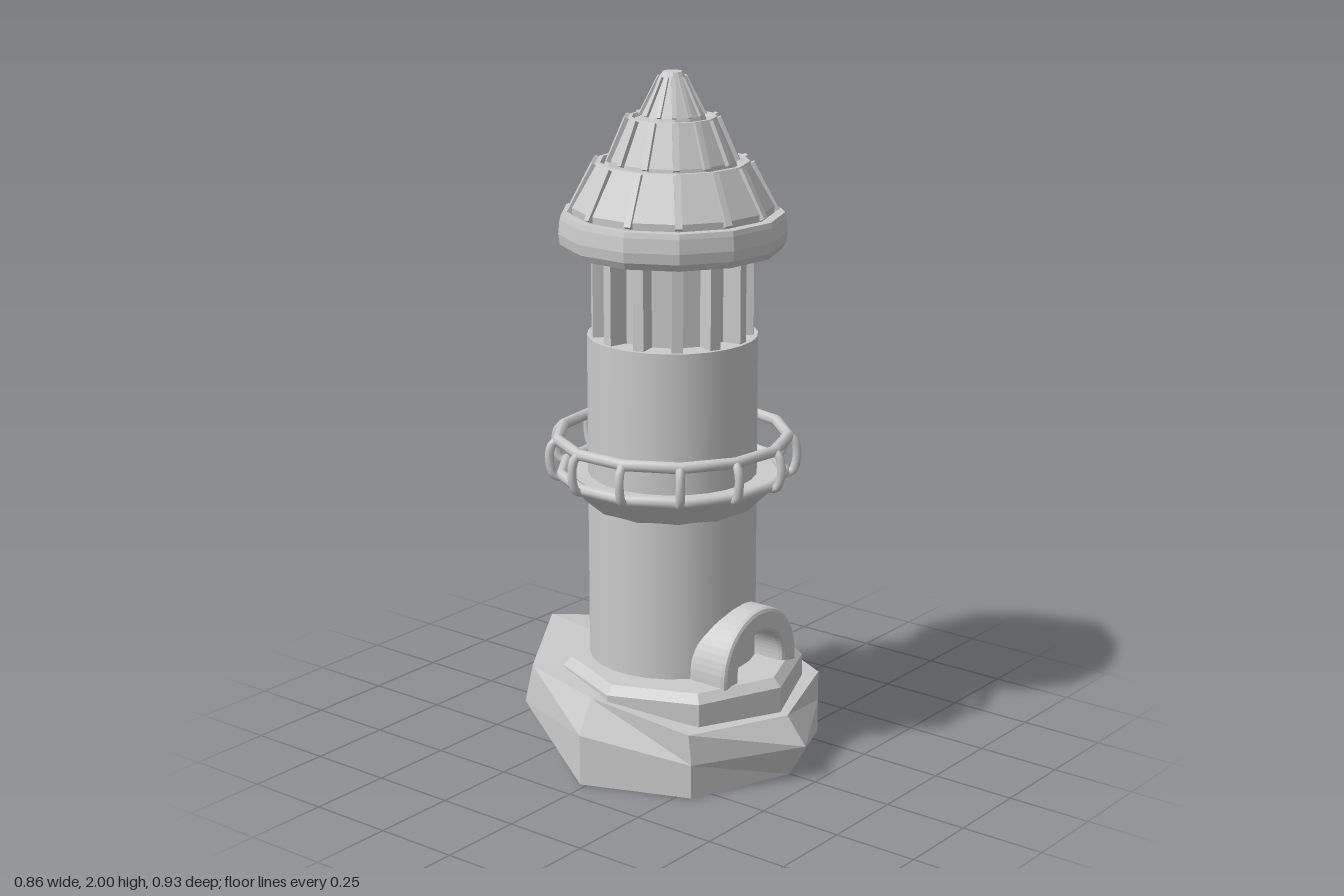
import * as THREE from 'three';

const SIDES = 13;
const AXIS_Z = -0.02;

const flat = new THREE.MeshStandardMaterial({ color: 0xcccccc, flatShading: true });
const smooth = new THREE.MeshStandardMaterial({ color: 0xcccccc });

function add(parent, name, geometry, material = flat) {
  const mesh = new THREE.Mesh(geometry, material);
  mesh.name = name;
  parent.add(mesh);
  return mesh;
}

// Turned part with a corner on +x; profile runs bottom to top as [radius, y]
function turned(profile, sides = SIDES) {
  const points = profile.map(([r, y]) => new THREE.Vector2(r, y));
  return new THREE.LatheGeometry(points, sides, Math.PI / 2);
}

// Repeats a part around the tower axis
function around(parent, name, build) {
  for (let i = 0; i < SIDES; i++) {
    const spoke = new THREE.Group();
    spoke.name = name;
    spoke.rotation.y = (i / SIDES) * Math.PI * 2;
    build(spoke);
    parent.add(spoke);
  }
}

// Faceted boulder: three rings of eight corners, from +x round by the front
function rockGeometry() {
  const bottom = [[0.43, 0, -0.02], [0.31, 0, 0.29], [0, 0, 0.41], [-0.31, 0, 0.29],
    [-0.43, 0, -0.02], [-0.24, 0, -0.25], [0, 0, -0.45], [0.31, 0, -0.33]];
  const middle = [[0.43, 0.1, -0.02], [0.31, 0.1, 0.29], [0, 0.1, 0.465], [-0.31, 0.1, 0.29],
    [-0.43, 0.15, -0.02], [-0.31, 0.14, -0.33], [-0.02, 0.15, -0.457], [0.31, 0.12, -0.33]];
  const top = [[0.43, 0.22, -0.02], [0.31, 0.19, 0.29], [0, 0.18, 0.4], [-0.31, 0.19, 0.28],
    [-0.38, 0.25, -0.02], [-0.31, 0.26, -0.3], [-0.03, 0.3, -0.465], [0.43, 0.22, -0.18]];
  const position = [];
  const tri = (...corners) => corners.forEach((c) => position.push(...c));
  for (let i = 0; i < 8; i++) {
    const j = (i + 1) % 8;
    for (const [a, b] of [[bottom, middle], [middle, top]]) {
      tri(a[i], b[i], b[j]);
      tri(a[i], b[j], a[j]);
    }
    tri([0, 0.24, 0], top[j], top[i]);
    tri([0, 0, 0], bottom[i], bottom[j]);
  }
  const geometry = new THREE.BufferGeometry();
  geometry.setAttribute('position', new THREE.Float32BufferAttribute(position, 3));
  geometry.computeVertexNormals();
  return geometry;
}

// Half-ring door surround with short straight feet
function archGeometry(outer, inner, foot, depth) {
  const shape = new THREE.Shape();
  shape.moveTo(outer, -foot);
  shape.lineTo(outer, 0);
  shape.absarc(0, 0, outer, 0, Math.PI, false);
  shape.lineTo(-outer, -foot);
  shape.lineTo(-inner, -foot);
  shape.lineTo(-inner, 0);
  shape.absarc(0, 0, inner, Math.PI, 0, true);
  shape.lineTo(inner, -foot);
  return new THREE.ExtrudeGeometry(shape, {
    depth, curveSegments: 14, bevelThickness: 0.015, bevelSize: 0.012, bevelOffset: -0.012, bevelSegments: 2,
  });
}

// Straight rib lying on a roof slope from [r, y] to [r, y]
function rib(parent, [r0, y0], [r1, y1], width, thick) {
  const length = Math.hypot(r1 - r0, y1 - y0);
  const mesh = add(parent, 'roofRib', new THREE.BoxGeometry(thick, length, width));
  mesh.position.set((r0 + r1) / 2, (y0 + y1) / 2, 0);
  mesh.rotation.z = Math.atan2(r0 - r1, y1 - y0);
}

export function createModel() {
  const model = new THREE.Group();
  model.name = 'lighthouse';

  // Ground: boulder, bevelled octagonal plinth, door surround
  add(model, 'rock', rockGeometry());
  const plinth = add(model, 'plinth', new THREE.CylinderGeometry(0.355, 0.355, 0.12, 8));
  plinth.position.set(0, 0.2, 0.02);
  const plinthBevel = add(model, 'plinthBevel', new THREE.CylinderGeometry(0.33, 0.355, 0.025, 8));
  plinthBevel.position.set(0, 0.2725, 0.02);
  const arch = add(model, 'doorArch', archGeometry(0.175, 0.105, 0.03, 0.1));
  arch.position.set(0.013, 0.3, 0.18);

  const tower = new THREE.Group();
  tower.name = 'tower';
  tower.position.z = AXIS_Z;
  model.add(tower);

  const shaft = add(tower, 'shaft', new THREE.CylinderGeometry(0.245, 0.245, 1.05, 26), smooth);
  shaft.position.y = 0.725;

  // Gallery: flared support, two rails and bowed balusters
  add(tower, 'galleryFloor', turned([[0.24, 0.75], [0.25, 0.755], [0.325, 0.83], [0.325, 0.84], [0.24, 0.84]]));
  for (const [y, r] of [[0.842, 0.325], [0.948, 0.335]]) {
    const rail = add(tower, 'galleryRail', new THREE.TorusGeometry(r, 0.017, 8, SIDES), smooth);
    rail.rotation.x = Math.PI / 2;
    rail.position.y = y;
  }
  const bow = new THREE.CatmullRomCurve3([[0.325, 0.835], [0.348, 0.845], [0.36, 0.895], [0.352, 0.935], [0.335, 0.948]]
    .map(([r, y]) => new THREE.Vector3(r, y, 0)));
  const bowGeometry = new THREE.TubeGeometry(bow, 12, 0.013, 8);
  around(tower, 'galleryBaluster', (spoke) => add(spoke, 'baluster', bowGeometry, smooth));

  // Lantern room: core with radial posts
  const core = add(tower, 'lanternCore', new THREE.CylinderGeometry(0.18, 0.18, 0.28, SIDES));
  core.position.y = 1.38;
  core.rotation.y = Math.PI / 2;
  around(tower, 'lanternPost', (spoke) => {
    const post = add(spoke, 'post', new THREE.BoxGeometry(0.07, 0.27, 0.032));
    post.position.set(0.197, 1.375, 0);
  });

  // Roof: rounded eave, then three stepped tiers with ribs
  add(tower, 'eave', turned([[0, 1.5], [0.31, 1.5], [0.322, 1.52], [0.326, 1.55], [0.322, 1.59], [0.318, 1.605], [0.27, 1.605]]));
  add(tower, 'lowerRoof', turned([[0.288, 1.59], [0.29, 1.625], [0.218, 1.75], [0.205, 1.75], [0.2, 1.735], [0.14, 1.735]]));
  add(tower, 'middleRoof', turned([[0.182, 1.73], [0.178, 1.755], [0.125, 1.875], [0.115, 1.875], [0.11, 1.865], [0.06, 1.865]]));
  add(tower, 'spire', turned([[0.097, 1.86], [0.09, 1.88], [0.034, 1.99], [0.028, 2], [0, 2]]));
  around(tower, 'roofRibs', (spoke) => {
    rib(spoke, [0.292, 1.61], [0.22, 1.745], 0.02, 0.022);
    rib(spoke, [0.18, 1.75], [0.127, 1.872], 0.018, 0.02);
    rib(spoke, [0.09, 1.88], [0.036, 1.985], 0.012, 0.014);
  });

  return model;
}
